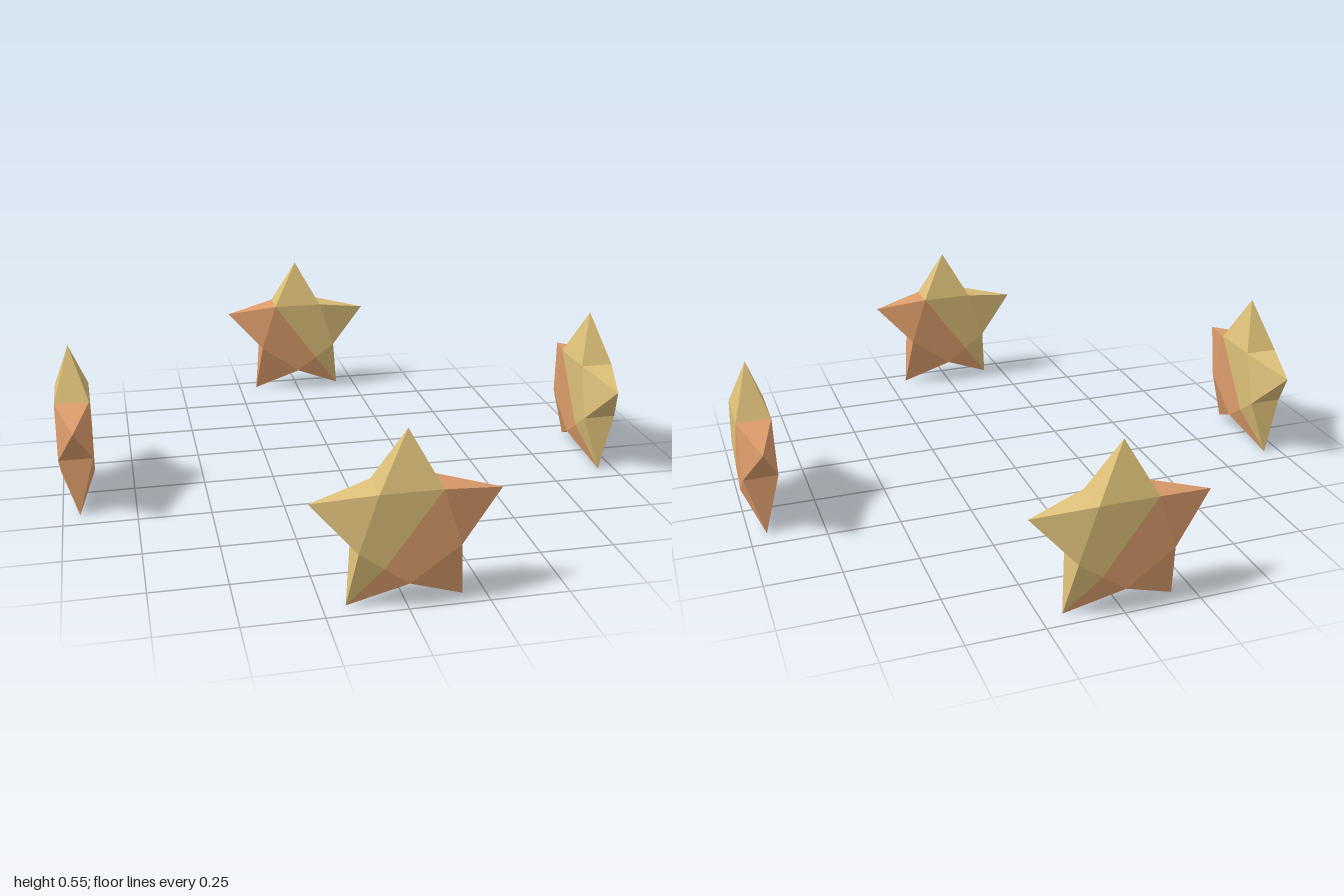
import * as THREE from 'three';

const R = 0.305;      // tip radius
const r = 0.162;      // radius of the inner corners
const DEPTH = 0.058;  // half thickness of the flat core
const RING = 0.942;   // distance of each star from the middle

const rad = THREE.MathUtils.degToRad;
const polar = (radius, deg, z) =>
  new THREE.Vector3(radius * Math.cos(rad(deg)), radius * Math.sin(rad(deg)), z);

// One half of a star: five of the ten 36 degree sectors, each from an inner corner to a tip
function halfStar(first) {
  const pos = [];
  const tri = (a, b, c, flip) => {
    for (const p of flip ? [a, c, b] : [a, b, c]) pos.push(p.x, p.y, p.z);
  };
  for (let j = first; j < first + 5; j++) {
    const odd = j % 2 === 1;
    const start = 54 + 36 * j;
    const innerDeg = odd ? start + 36 : start;
    const tipDeg = odd ? start : start + 36;
    const tip = polar(R, tipDeg, 0);
    for (const side of [1, -1]) {
      const flip = odd !== (side < 0);
      const z = DEPTH * side;
      const centre = new THREE.Vector3(0, 0, z);
      const inner = polar(r, innerDeg, z);
      const mid = polar(r * Math.cos(rad(36)), tipDeg, z);
      tri(centre, inner, mid, flip); // flat core
      tri(inner, tip, mid, flip);    // sloping face of the point
    }
    // edge face of the point
    tri(polar(r, innerDeg, DEPTH), polar(r, innerDeg, -DEPTH), tip, odd);
  }
  const geo = new THREE.BufferGeometry();
  geo.setAttribute('position', new THREE.Float32BufferAttribute(pos, 3));
  geo.computeVertexNormals();
  return geo;
}

export function createModel() {
  const yellow = new THREE.MeshStandardMaterial({ name: 'paleGold', color: 0xdcbf78 });
  const orange = new THREE.MeshStandardMaterial({ name: 'copperOrange', color: 0xdc9c6b });
  const goldGeo = halfStar(0);
  const copperGeo = halfStar(5);

  const model = new THREE.Group();
  model.name = 'starRing';

  // Four stars facing outwards
  ['frontStar', 'leftStar', 'backStar', 'rightStar'].forEach((name, i) => {
    const star = new THREE.Group();
    star.name = name;
    const gold = new THREE.Mesh(goldGeo, yellow);
    gold.name = 'goldHalf';
    const copper = new THREE.Mesh(copperGeo, orange);
    copper.name = 'copperHalf';
    star.add(gold, copper);
    const a = (i * Math.PI) / 2;
    star.rotation.y = a;
    star.position.set(Math.sin(a) * RING, R * Math.cos(rad(36)), Math.cos(a) * RING);
    model.add(star);
  });
  return model;
}
